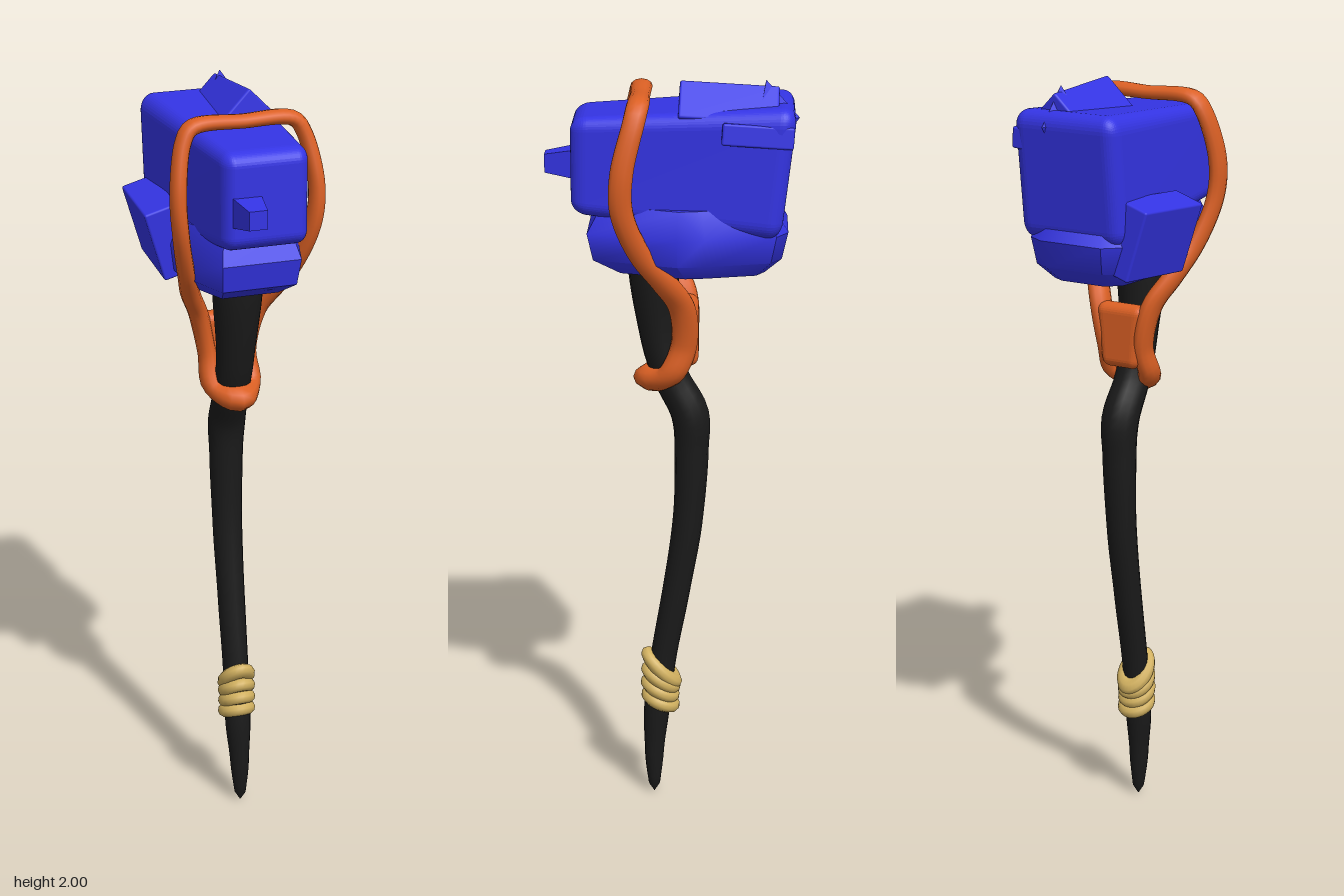
import * as THREE from 'three';
import { mergeVertices, toCreasedNormals } from 'three/addons/utils/BufferGeometryUtils.js';
import { RoundedBoxGeometry } from 'three/addons/geometries/RoundedBoxGeometry.js';
import { ConvexGeometry } from 'three/addons/geometries/ConvexGeometry.js';

const V = (x, y, z) => new THREE.Vector3(x, y, z);
const mat = (color) => new THREE.MeshStandardMaterial({ color });

// Tube with varying radius; knots are [x, y, z, radius], stretchZ widens the section front to back
function sweep(knots, closed, steps, sides, stretchZ = 1) {
  const path = new THREE.CatmullRomCurve3(knots.map((k) => V(k[0], k[1], k[2])), closed, 'centripetal');
  const radius = new THREE.CatmullRomCurve3(knots.map((k) => V(k[3], 0, 0)), closed, 'catmullrom', 0.2);
  const geo = new THREE.TubeGeometry(path, steps, 1, sides, closed);
  const pos = geo.attributes.position;
  for (let i = 0; i <= steps; i++) {
    const u = i / steps;
    const c = path.getPointAt(u);
    const r = radius.getPoint(path.getUtoTmapping(u)).x;
    for (let j = 0; j <= sides; j++) {
      const n = i * (sides + 1) + j;
      const d = V().fromBufferAttribute(pos, n).sub(c).multiplyScalar(r);
      pos.setXYZ(n, c.x + d.x, c.y + d.y, c.z + d.z * stretchZ);
    }
  }
  geo.deleteAttribute('uv');
  geo.deleteAttribute('normal');
  const out = mergeVertices(geo, 1e-5);
  out.computeVertexNormals();
  return out;
}

// Stone made from plan outlines stacked at several heights
function stone(levels, outline) {
  const pts = [];
  for (const [y, s, cz] of levels) {
    for (const [x, z] of outline) pts.push(V(x * s, y, cz + (z - cz) * s));
  }
  return toCreasedNormals(new ConvexGeometry(pts), 0.7);
}

export function createModel() {
  const group = new THREE.Group();
  const blue = mat(0x3434e4), orange = mat(0xdb6024), black = mat(0x1a1a1a), tan = mat(0xd2b160);
  const add = (name, geo, material, parent = group) => {
    const mesh = new THREE.Mesh(geo, material);
    mesh.name = name;
    parent.add(mesh);
    return mesh;
  };

  // Bent wooden shaft, pointed at the foot
  add('handle', sweep([
    [0.01, 0.0, 0.045, 0.001], [0.01, 0.012, 0.045, 0.014], [0.008, 0.12, 0.045, 0.026],
    [0.005, 0.25, 0.038, 0.035], [0.005, 0.4, 0.02, 0.035], [0.005, 0.6, -0.015, 0.037],
    [0.005, 0.8, -0.045, 0.04], [0.005, 1.0, -0.055, 0.045], [0.005, 1.1, -0.05, 0.05],
    [0, 1.2, 0.0, 0.047], [0, 1.3, 0.028, 0.05], [0, 1.5, 0.045, 0.066], [0, 1.62, 0.045, 0.07],
  ], false, 70, 14), black);

  // Cord wound around the shaft, steeper towards the top
  const cord = new THREE.Group();
  cord.name = 'cordWrap';
  group.add(cord);
  [[0.275, 0.028, 0.42], [0.308, 0.029, 0.5], [0.34, 0.027, 0.6], [0.37, 0.025, 0.8]].forEach(([y, z, tilt], i) => {
    const ring = add('cordRing' + (i + 1), new THREE.TorusGeometry(0.032, 0.019, 10, 28), tan, cord);
    ring.position.set(0.005, y, z);
    ring.rotation.x = Math.PI / 2 - tilt;
    ring.scale.y = 1 / Math.cos(tilt);
  });

  // Binding: closed loop over the head and around the front of the shaft
  const side = [
    [0.135, 1.938, 0.08, 0.02], [0.16, 1.905, 0.088, 0.02], [0.184, 1.78, 0.118, 0.021],
    [0.178, 1.68, 0.118, 0.021], [0.148, 1.56, 0.07, 0.022], [0.115, 1.48, 0.01, 0.025],
    [0.08, 1.41, -0.03, 0.025], [0.055, 1.3, -0.035, 0.024], [0.053, 1.22, 0.0, 0.026],
  ];
  const mirrored = side.map(([x, y, z, r]) => [-x, y, z, r]).reverse();
  add('bindingLoop', sweep(
    [[0, 1.942, 0.078, 0.018], ...side, [0, 1.198, 0.045, 0.037], ...mirrored], true, 140, 12, 1.45,
  ), orange);
  const plate = new RoundedBoxGeometry(0.13, 0.17, 0.055, 4, 0.025);
  const pp = plate.attributes.position;
  for (let i = 0; i < pp.count; i++) pp.setX(i, pp.getX(i) * (1 + pp.getY(i) * 2));
  plate.computeVertexNormals();
  add('bindingBackPlate', plate, orange).position.set(0, 1.325, -0.045);

  // Main head block: narrower at the front, back face leaning outward
  const block = new RoundedBoxGeometry(0.31, 0.29, 0.55, 5, 0.04);
  const bp = block.attributes.position;
  for (let i = 0; i < bp.count; i++) {
    const t = bp.getZ(i) / 0.55 + 0.5;
    const h = bp.getY(i) / 0.29 + 0.5;
    const bottom = 1.6 + 0.06 * t, top = 1.94 - 0.035 * t;
    bp.setXYZ(i, 0.005 + bp.getX(i) * (1 - 0.28 * t), bottom + (top - bottom) * h,
      bp.getZ(i) - 0.025 - (1 - t) * (h - 0.5) * 0.04);
  }
  block.computeVertexNormals();
  add('headBlock', block, blue);

  // Lower stone under the block
  add('lowerStone', stone(
    [[1.5, 0.72, -0.09], [1.54, 0.94, -0.04], [1.61, 1, -0.04], [1.68, 0.85, -0.04]],
    [[-0.1, 0.21], [0.11, 0.21], [0.155, 0.06], [0.185, -0.02], [0.175, -0.09], [0.13, -0.27],
      [0.08, -0.3], [-0.1, -0.3], [-0.15, -0.25], [-0.16, 0.03]],
  ), blue);

  // Small stub on the front face
  const stub = new THREE.CylinderGeometry(0.034, 0.056, 0.09, 4).rotateY(Math.PI / 4).rotateX(Math.PI / 2);
  add('frontStub', toCreasedNormals(stub, 0.5), blue).position.set(-0.05, 1.76, 0.28);

  // Angular chips set into the block: [name, size, position, rotation]
  const chips = [
    ['topRidge', [0.11, 0.11, 0.25], [0.055, 1.91, -0.145], [-0.06, 0.02, Math.PI / 4]],
    ['rightSlab', [0.09, 0.19, 0.24], [-0.148, 1.62, -0.14], [0.05, -0.07, 0.3]],
    ['leftChip', [0.05, 0.055, 0.18], [0.135, 1.87, -0.22], [-0.07, 0.04, 0.1]],
  ];
  for (const [name, size, at, turn] of chips) {
    const chip = add(name, new RoundedBoxGeometry(...size, 2, 0.006), blue);
    chip.position.set(...at);
    chip.rotation.set(...turn);
  }
  // Sloping rear end of the ridge
  add('ridgeTail', toCreasedNormals(new ConvexGeometry([
    V(0.055, 1.995, -0.24), V(0.0, 1.9, -0.22), V(0.12, 1.9, -0.22), V(0.055, 1.9, -0.325), V(0.055, 1.84, -0.28),
  ]), 0.4), blue);
  return group;
}
